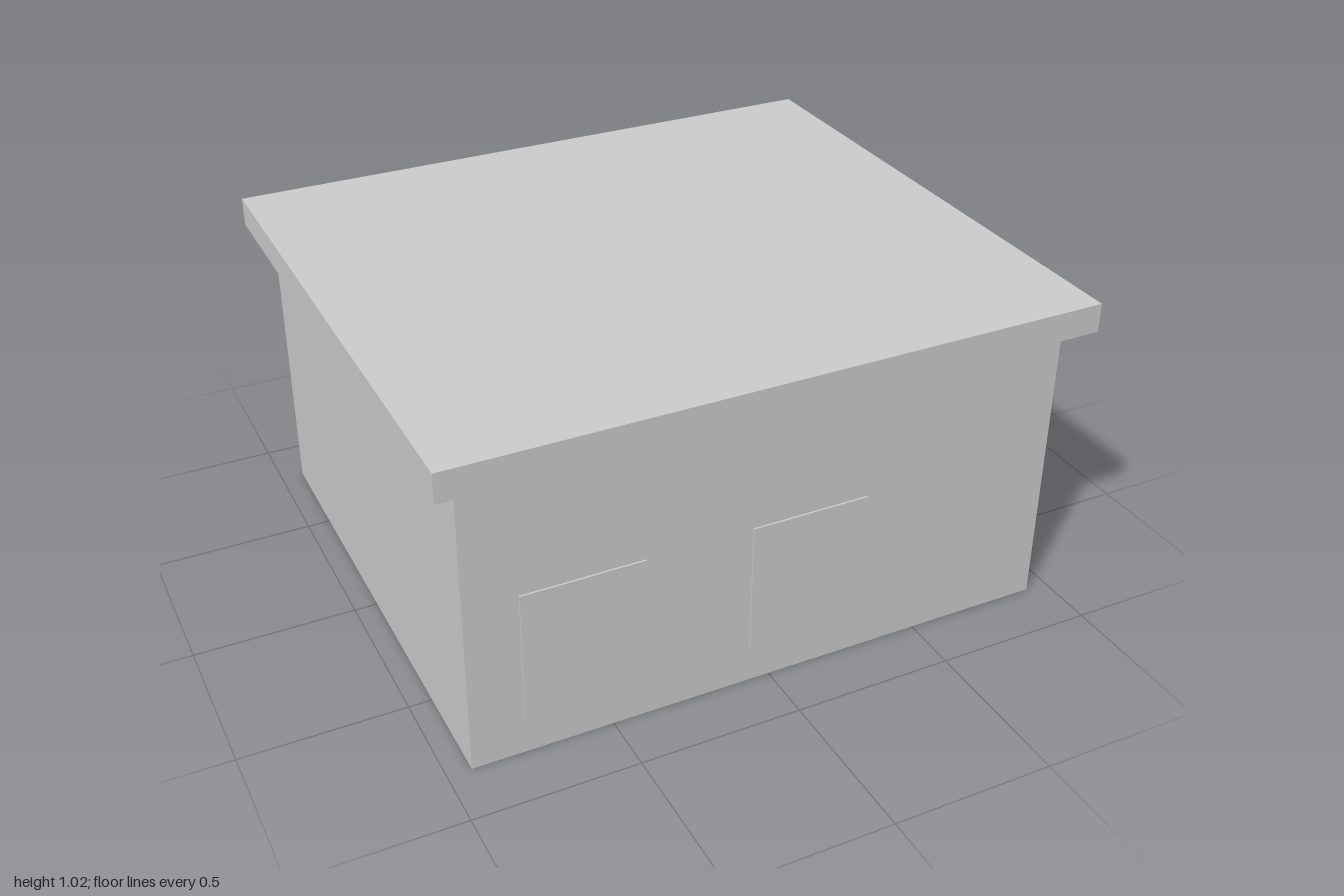
import * as THREE from 'three';

export function createModel() {
  const model = new THREE.Group();
  model.name = 'flatRoofBuilding';
  const grey = new THREE.MeshStandardMaterial({ color: 0xcccccc });
  grey.name = 'light grey';

  // Box given by its size, centre x and z, and base height
  function addBox(name, w, h, d, x, base, z) {
    const mesh = new THREE.Mesh(new THREE.BoxGeometry(w, h, d), grey);
    mesh.name = name;
    mesh.position.set(x, base + h / 2, z);
    model.add(mesh);
  }

  // Main block and overhanging roof slab
  addBox('walls', 1.856, 0.935, 1.636, 0, 0, 0);
  addBox('roof', 2, 0.09, 1.77, 0, 0.935, 0);

  // Thin window panels on the front wall
  const windows = { rightWindow: -0.583, middleWindow: 0.117 };
  for (const [name, x] of Object.entries(windows)) {
    addBox(name, 0.37, 0.418, 0.008, x, 0.12, 0.82);
  }
  return model;
}
